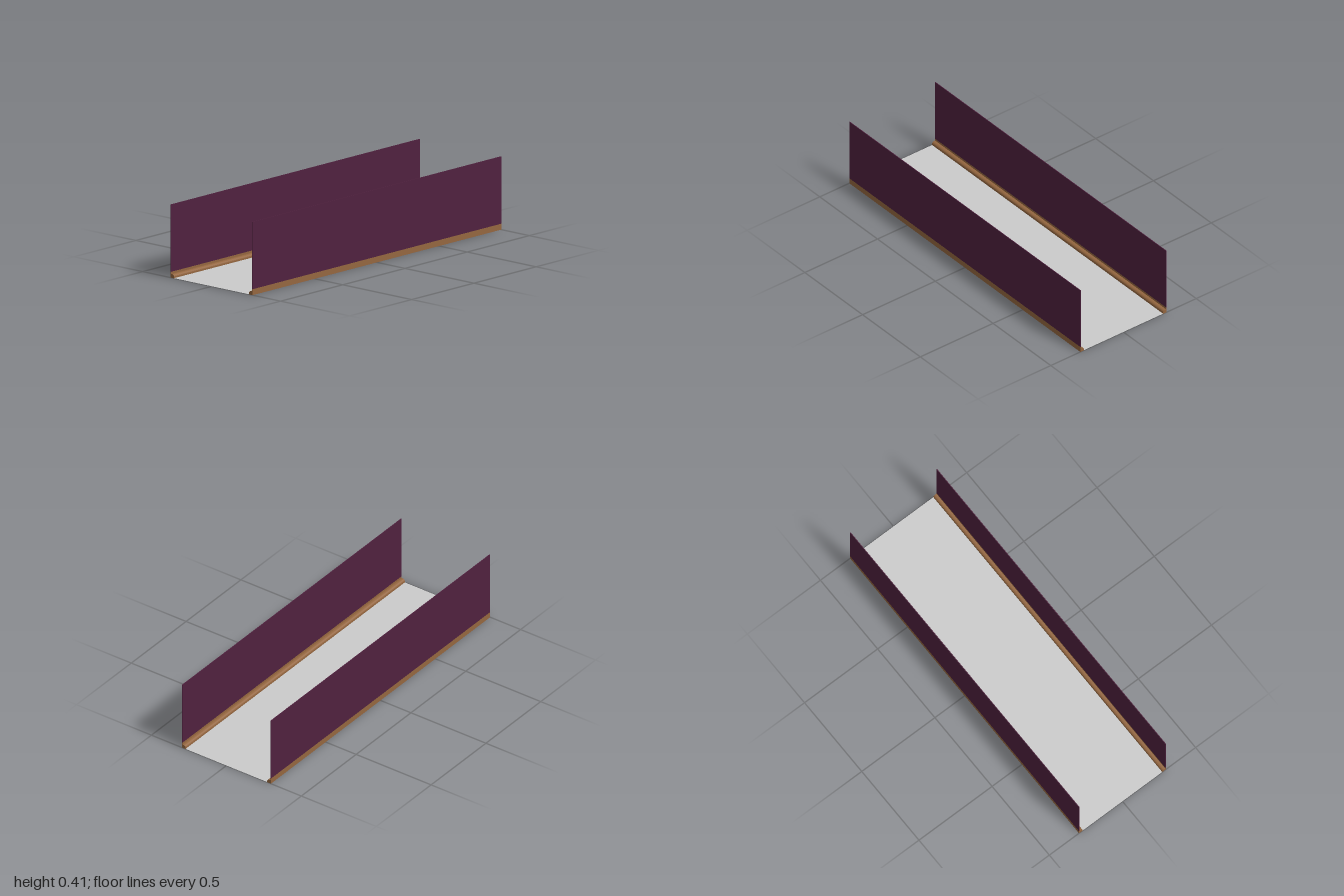
import * as THREE from 'three';

const LENGTH = 2;
const WALL_IN = 0.293, WALL_OUT = 0.297;

const floorMat = new THREE.MeshStandardMaterial({ color: 0xcccccc, side: THREE.DoubleSide });
const wallMat = new THREE.MeshStandardMaterial({ color: 0x50213f });
const woodMat = new THREE.MeshStandardMaterial({ color: 0x94663f });

// Upright slab running the full length, from y0 to y1 on one side
function slab(name, side, y0, y1, material) {
  const mesh = new THREE.Mesh(new THREE.BoxGeometry(WALL_OUT - WALL_IN, y1 - y0, LENGTH), material);
  mesh.position.set(side * (WALL_IN + WALL_OUT) / 2, (y0 + y1) / 2, 0);
  mesh.name = name;
  return mesh;
}

// Rounded shoe moulding along the foot of a wall
function shoeMoulding(name, side) {
  const inner = side * 0.272, back = side * WALL_IN;
  const shape = new THREE.Shape();
  shape.moveTo(back, 0);
  shape.lineTo(inner, 0);
  shape.lineTo(inner, 0.007);
  shape.bezierCurveTo(inner, 0.015, side * 0.278, 0.021, side * 0.287, 0.021);
  shape.lineTo(back, 0.021);
  shape.closePath();
  const geometry = new THREE.ExtrudeGeometry(shape, { depth: LENGTH, bevelEnabled: false, curveSegments: 8 });
  geometry.translate(0, 0, -LENGTH / 2);
  const mesh = new THREE.Mesh(geometry, woodMat);
  mesh.name = name;
  return mesh;
}

export function createModel() {
  const group = new THREE.Group();
  group.name = 'corridor';

  // Thin floor sheet
  const floor = new THREE.Mesh(new THREE.PlaneGeometry(2 * WALL_IN, LENGTH), floorMat);
  floor.rotation.x = -Math.PI / 2;
  floor.position.y = 0.001;
  floor.name = 'floor';
  group.add(floor);

  // Wall, baseboard and moulding on each side
  for (const [label, side] of [['left', 1], ['right', -1]]) {
    group.add(
      slab(label + 'Wall', side, 0.033, 0.406, wallMat),
      slab(label + 'Baseboard', side, 0, 0.033, woodMat),
      shoeMoulding(label + 'ShoeMoulding', side)
    );
  }
  return group;
}
